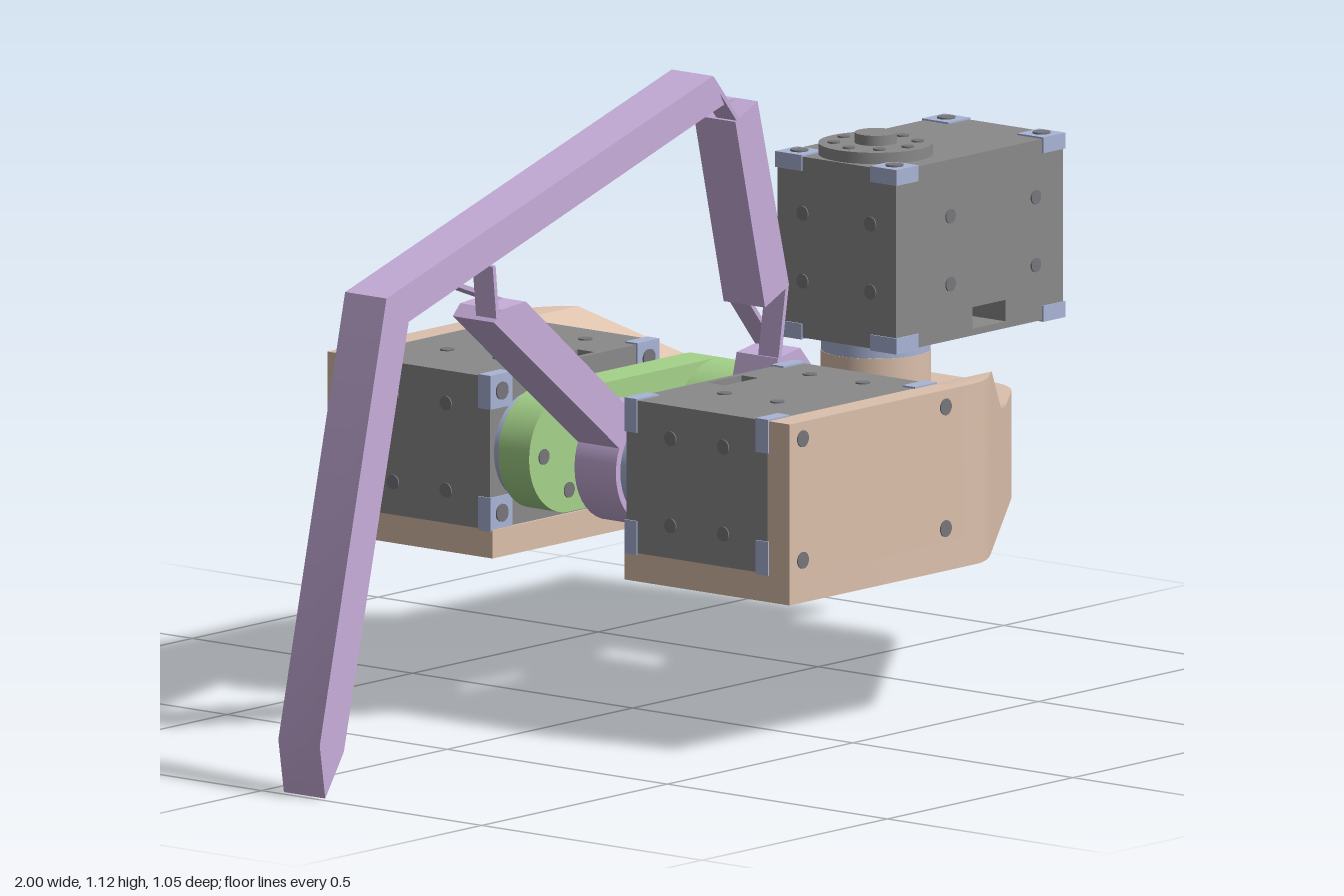
import * as THREE from 'three';
import { toCreasedNormals } from 'three/addons/utils/BufferGeometryUtils.js';

const mat = (color) => new THREE.MeshStandardMaterial({ color, side: THREE.DoubleSide });
const TAN = mat(0xdcc0ac), PURPLE = mat(0xc8aedb), GREEN = mat(0xa5d38a);
const GREY = mat(0x8a8a8a), BLUE = mat(0xa9b4d6), DARK = mat(0x77777c);
const AXIS_Y = 0.465, REAR_X = -0.095, FRONT_X = 0.3, HUB_R = 0.107;

function add(parent, name, geo, material, x = 0, y = 0, z = 0) {
  const m = new THREE.Mesh(geo, material);
  m.name = name;
  m.position.set(x, y, z);
  parent.add(m);
  return m;
}

const extrude = (shape, depth) =>
  toCreasedNormals(new THREE.ExtrudeGeometry(shape, { depth, bevelEnabled: false, curveSegments: 16 }), 0.5);

// upright plate, outline in x/y, from z0 to z1
function plate(parent, name, pts, z0, z1, material) {
  const shape = new THREE.Shape(pts.map(([x, y]) => new THREE.Vector2(x, y)));
  return add(parent, name, extrude(shape, z1 - z0), material, 0, 0, z0);
}

// short cylinder between two positions along 'x', 'y' or 'z'
function disc(parent, name, r, h, axis, x, y, z, material) {
  const m = add(parent, name, new THREE.CylinderGeometry(r, r, h, r > 0.03 ? 40 : 14), material, x, y, z);
  if (axis === 'z') m.rotation.x = Math.PI / 2;
  if (axis === 'x') m.rotation.z = Math.PI / 2;
  return m;
}

// servo: output axis along local y through the origin, lower face at y = 0
function servo(name) {
  const g = new THREE.Group();
  g.name = name;
  const x0 = -0.105, x1 = 0.345, h = 0.32, d = 0.135;
  const rect = (Type, a, b, c, e) =>
    new Type([[a, b], [c, b], [c, e], [a, e]].map(([x, y]) => new THREE.Vector2(x, y)));
  const side = rect(THREE.Shape, x0, 0, x1, h);
  side.holes.push(rect(THREE.Path, 0.1, 0.012, 0.19, 0.05)); // cable window
  add(g, 'servoCase', extrude(side, 2 * d), GREY, 0, 0, -d);

  // corner brackets with their screws
  for (const sx of [0, 1]) for (const sy of [0, 1]) for (const sz of [-1, 1]) {
    const x = sx ? x1 - 0.027 : x0 + 0.027, y = sy ? h - 0.011 : 0.011, z = sz * (d - 0.027);
    add(g, 'cornerBracket', new THREE.BoxGeometry(0.06, 0.028, 0.06), BLUE, x, y, z);
    disc(g, 'cornerScrew', 0.016, 0.006, 'y', x, sy ? h + 0.003 : -0.003, z, DARK);
  }
  // screws on the four sides
  for (const y of [0.1, 0.22]) {
    for (const s of [-1, 1]) {
      for (const x of [0.04, 0.27]) disc(g, 'sideScrew', 0.013, 0.005, 'z', x, y, s * d, DARK);
      for (const x of [x0, x1]) disc(g, 'endScrew', 0.013, 0.005, 'x', x, y, s * 0.077, DARK);
    }
  }
  // output horns
  disc(g, 'topHorn', 0.1, 0.02, 'y', 0, h + 0.01, 0, GREY);
  disc(g, 'topHub', 0.037, 0.038, 'y', 0, h + 0.019, 0, GREY);
  disc(g, 'lowerHorn', 0.095, 0.025, 'y', 0, -0.0125, 0, BLUE);
  for (let i = 0; i < 8; i++) {
    const a = (i * Math.PI) / 4;
    disc(g, 'hornScrew', 0.011, 0.004, 'y', 0.073 * Math.cos(a), h + 0.021, 0.073 * Math.sin(a), DARK);
  }
  return g;
}

// U-shaped base outline in x/z, starting at x0, with the pivot hole
function baseOutline(x0) {
  const s = new THREE.Shape();
  s.moveTo(x0, 0.525);
  s.lineTo(0.3, 0.525);
  s.quadraticCurveTo(0.335, 0.525, 0.385, 0.488);
  s.lineTo(0.8, 0.185);
  s.quadraticCurveTo(0.85, 0.15, 0.85, 0.09);
  s.lineTo(0.85, -0.09);
  s.quadraticCurveTo(0.85, -0.15, 0.8, -0.185);
  s.lineTo(0.385, -0.488);
  s.quadraticCurveTo(0.335, -0.525, 0.3, -0.525);
  s.lineTo(x0, -0.525);
  s.lineTo(x0, -0.15);
  s.lineTo(0.42, -0.15);
  s.quadraticCurveTo(0.46, -0.15, 0.46, -0.11);
  s.lineTo(0.46, 0.11);
  s.quadraticCurveTo(0.46, 0.15, 0.42, 0.15);
  s.lineTo(x0, 0.15);
  s.holes.push(new THREE.Path().absarc(0.655, 0, 0.085, 0, Math.PI * 2, true));
  return s;
}

// shoulder rising to the side wall: rectangular sections [z, top, front x]
function shoulder(side) {
  const rows = [[0.25, 0.47, 0.71], [0.3, 0.476, 0.644], [0.34, 0.492, 0.589], [0.37, 0.515, 0.548],
    [0.47, 0.598, 0.41], [0.488, 0.6, 0.385], [0.51, 0.6, 0.352], [0.521, 0.6, 0.325], [0.525, 0.6, 0.3]];
  const rings = rows.map(([z, top, x]) =>
    [[0.25, 0.469], [x, 0.469], [x, top], [0.25, top]].map(([px, py]) => [px, py, z * side]));
  if (side < 0) rings.reverse();
  const pos = [];
  const quad = (a, b, c, d) => pos.push(...a, ...b, ...c, ...a, ...c, ...d);
  for (let i = 0; i + 1 < rings.length; i++) {
    const p = rings[i], q = rings[i + 1];
    for (let k = 0; k < 4; k++) { const n = (k + 1) % 4; quad(p[k], p[n], q[n], q[k]); }
  }
  const first = rings[0], last = rings[rings.length - 1];
  quad(first[3], first[2], first[1], first[0]);
  quad(last[0], last[1], last[2], last[3]);
  const geo = new THREE.BufferGeometry();
  geo.setAttribute('position', new THREE.Float32BufferAttribute(pos, 3));
  return toCreasedNormals(geo, 0.5);
}

function buildBase() {
  const g = new THREE.Group();
  g.name = 'base';
  const slab = (name, x0, y0, y1) =>
    add(g, name, extrude(baseOutline(x0), y1 - y0).rotateX(Math.PI / 2), TAN, 0, y1, 0);
  slab('floorPlate', -0.2, 0.28, 0.33);
  slab('frontBlock', 0.25, 0.33, 0.47);
  for (const s of [-1, 1]) {
    add(g, 'sideWall', new THREE.BoxGeometry(0.45, 0.27, 0.05), TAN, 0.025, 0.465, s * 0.5);
    add(g, 'shoulder', shoulder(s), TAN);
    for (const x of [-0.165, 0.22]) for (const y of [0.355, 0.57])
      disc(g, 'wallScrew', 0.015, 0.004, 'z', x, y, s * 0.525, DARK);
    for (const x of [-0.055, 0.175]) for (const z of [0.255, 0.375])
      disc(g, 'floorScrew', 0.015, 0.004, 'y', x, 0.28, s * z, DARK);
  }
  // hollow pivot boss
  const ring = [[0.085, 0.33], [0.096, 0.33], [0.096, 0.545], [0.085, 0.545], [0.085, 0.33]];
  const boss = new THREE.LatheGeometry(ring.map(([r, y]) => new THREE.Vector2(r, y)), 40);
  add(g, 'pivotBoss', toCreasedNormals(boss, 0.5), TAN, 0.655, 0, 0);
  return g;
}

function buildLinkage() {
  const g = new THREE.Group();
  g.name = 'legLinkage';
  const z0 = 0.038, z1 = 0.132, zm = 0.085;

  // long leg with a bend and a pointed foot
  plate(g, 'leg', [[-0.82, 0.865], [-1, 0.1], [-0.985, 0.005], [-0.935, 0.08], [-0.76, 0.815],
    [0.045, 1.062], [0.09, 1.075], [0.06, 1.13]], z0, z1, PURPLE);

  // rear crank
  disc(g, 'rearCrankHub', HUB_R, z1 - z0, 'z', REAR_X, AXIS_Y, zm, PURPLE);
  plate(g, 'rearCrankArm', [[-0.53, 0.78], [-0.12, 0.45], [-0.075, 0.5], [-0.445, 0.805], [-0.51, 0.8]],
    z0, z1, PURPLE);

  // front crank and its connecting rod
  disc(g, 'frontCrankHub', HUB_R, z1 - z0, 'z', FRONT_X, AXIS_Y, zm, PURPLE);
  plate(g, 'frontCrankNeck', [[0.235, 0.605], [0.195, 0.45], [0.3, 0.465], [0.405, 0.49], [0.295, 0.615]],
    z0, z1, PURPLE);
  plate(g, 'connectingRod', [[0.12, 1.04], [0.2, 0.7], [0.265, 0.73], [0.18, 1.068]], z0, z1, PURPLE);

  // crossed flexure hinges, each strip using half the width
  const strip = (ax, ay, bx, by, half) => {
    const len = Math.hypot(bx - ax, by - ay);
    const m = add(g, 'flexureStrip', new THREE.BoxGeometry(len, 0.008, 0.046), PURPLE,
      (ax + bx) / 2, (ay + by) / 2, zm + half * 0.024);
    m.rotation.z = Math.atan2(by - ay, bx - ax);
  };
  strip(-0.53, 0.88, -0.52, 0.785, 1);
  strip(-0.61, 0.862, -0.45, 0.802, -1);
  strip(0.06, 1.125, 0.13, 1.04, 1);
  strip(0.045, 1.064, 0.18, 1.064, -1);
  strip(0.26, 0.73, 0.24, 0.605, 1);
  strip(0.215, 0.705, 0.29, 0.613, -1);

  // green crank carrying the front hub
  const link = new THREE.Shape();
  link.absarc(FRONT_X, AXIS_Y, HUB_R, -Math.PI / 2, Math.PI / 2);
  link.absarc(REAR_X, AXIS_Y, HUB_R, Math.PI / 2, Math.PI * 1.5);
  add(g, 'offsetCrank', extrude(link, 0.07), GREEN, 0, 0, -0.135);
  disc(g, 'offsetCrankHub', HUB_R, 0.105, 'z', FRONT_X, AXIS_Y, -0.0145, GREEN);

  // hub screws
  for (let i = 0; i < 4; i++) {
    const dx = 0.068 * Math.cos(i * Math.PI / 2), dy = 0.068 * Math.sin(i * Math.PI / 2);
    disc(g, 'hubScrew', 0.014, 0.004, 'z', FRONT_X + dx, AXIS_Y + dy, z1, DARK);
    disc(g, 'hubScrew', 0.014, 0.004, 'z', REAR_X + dx, AXIS_Y + dy, z0, DARK);
    disc(g, 'hubScrew', 0.014, 0.004, 'z', REAR_X + dx, AXIS_Y + dy, -0.065, DARK);
  }
  return g;
}

export function createModel() {
  const model = new THREE.Group();
  model.name = 'roboticLeg';
  model.add(buildBase(), buildLinkage());

  const top = servo('swingServo');
  top.position.set(0.655, 0.57, 0);
  model.add(top);

  // two lying servos with their lower horns facing inward
  for (const s of [-1, 1]) {
    const m = servo(s > 0 ? 'frontServo' : 'backServo');
    m.position.set(REAR_X, AXIS_Y, s * 0.155);
    m.rotation.x = s * Math.PI / 2;
    model.add(m);
  }
  return model;
}
